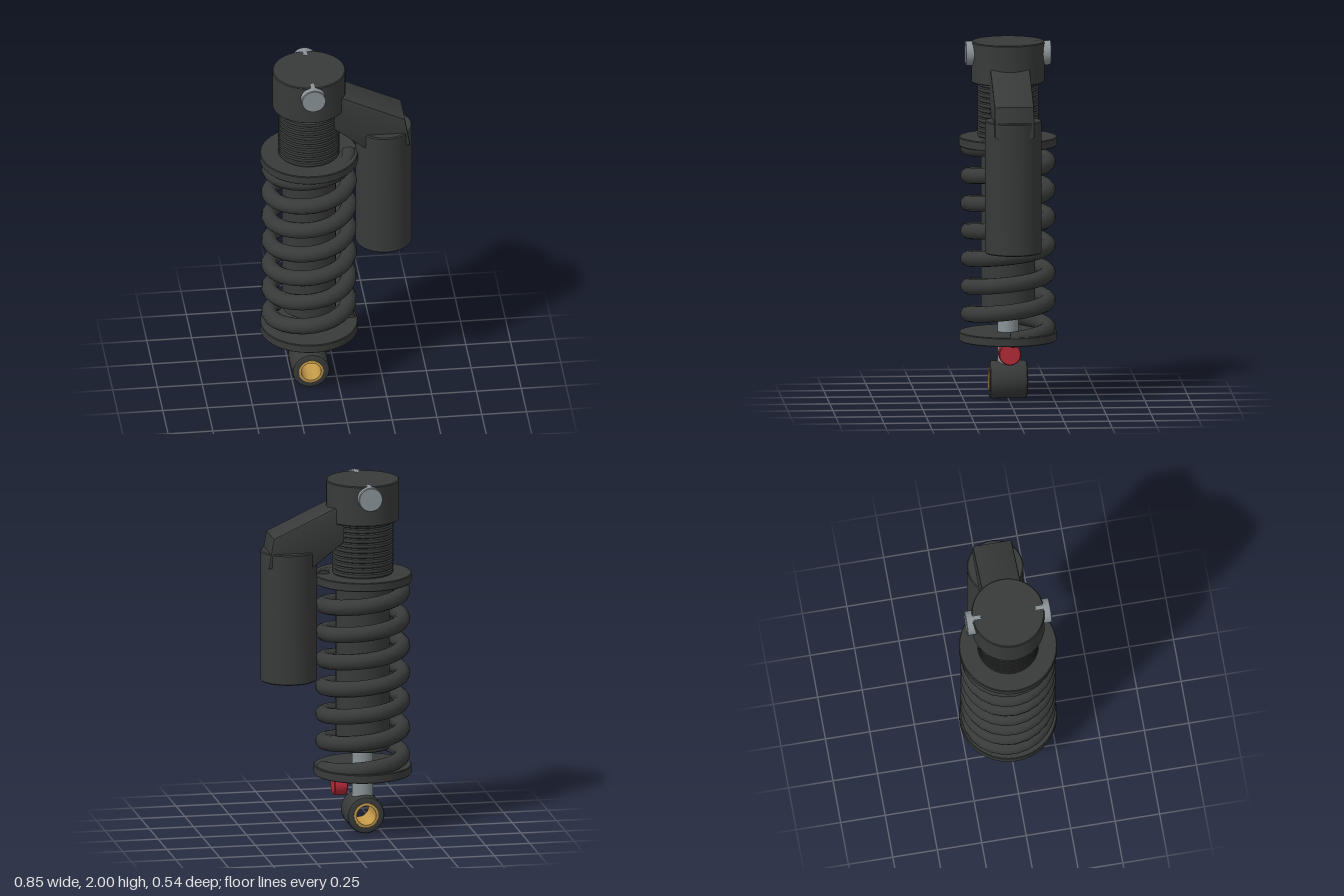
import * as THREE from 'three';
import { toCreasedNormals } from 'three/addons/utils/BufferGeometryUtils.js';

const AXIS = -0.155; // x of the damper's centre line
const RES_X = 0.263; // x of the reservoir's centre line

const dark = new THREE.MeshStandardMaterial({ color: 0x383a39 });
const steel = new THREE.MeshStandardMaterial({ color: 0x8a9397 });
const red = new THREE.MeshStandardMaterial({ color: 0xb32b38 });
const gold = new THREE.MeshStandardMaterial({ color: 0xc49a4a });

// Rising coil, starting and ending on the +x side
class Helix extends THREE.Curve {
  constructor(radius, y0, y1, turns) {
    super();
    Object.assign(this, { radius, y0, y1, turns });
  }
  getPoint(t, target = new THREE.Vector3()) {
    const a = t * this.turns * Math.PI * 2;
    return target.set(this.radius * Math.cos(a), this.y0 + (this.y1 - this.y0) * t, -this.radius * Math.sin(a));
  }
}

function lathe(points, segments = 40) {
  const profile = points.map(([r, y]) => new THREE.Vector2(r, y));
  return toCreasedNormals(new THREE.LatheGeometry(profile, segments), 0.5);
}

// Solid cylinder from y0 to y1 with a chamfer on both rims
function drum(r, y0, y1, c = 0.005, segments = 40) {
  return lathe([[0, y0], [r - c, y0], [r, y0 + c], [r, y1 - c], [r - c, y1], [0, y1]], segments);
}

// Tube from -h to h with rounded outer rims
function sleeve(outer, inner, h, c) {
  return lathe([
    [inner, -h], [outer - c, -h], [outer - c * 0.3, -h + c * 0.3], [outer, -h + c],
    [outer, h - c], [outer - c * 0.3, h - c * 0.3], [outer - c, h], [inner, h], [inner, -h],
  ]);
}

export function createModel() {
  const model = new THREE.Group();
  model.name = 'shockAbsorber';

  const add = (name, geometry, material, x = AXIS, y = 0, z = 0) => {
    const mesh = new THREE.Mesh(geometry, material);
    mesh.name = name;
    mesh.position.set(x, y, z);
    model.add(mesh);
    return mesh;
  };

  // Main damper column
  add('head', drum(0.203, 1.772, 2), dark);
  add('damperBody', drum(0.15, 0.47, 1.5), dark);
  add('shaft', drum(0.058, 0.17, 0.5, 0.003, 32), steel);

  // Threaded collar: a stack of ridges
  const thread = [[0, 1.44]];
  const ridges = 12;
  const pitch = 0.34 / ridges;
  for (let i = 0; i < ridges; i++) {
    const y = 1.44 + i * pitch;
    thread.push([0.162, y], [0.17, y + pitch * 0.2], [0.17, y + pitch * 0.8], [0.162, y + pitch]);
  }
  thread.push([0, 1.78]);
  add('threadedCollar', lathe(thread), dark);

  // Spring and its two seats
  add('upperSpringSeat', drum(0.272, 1.417, 1.467, 0.004), dark);
  add('lowerSpringSeat', drum(0.272, 0.325, 0.375, 0.004), dark);
  const coil = new Helix(0.22, 0.357, 1.443, 7);
  add('spring', new THREE.TubeGeometry(coil, 7 * 24, 0.045, 12), dark);
  add('springLowerEnd', new THREE.CircleGeometry(0.045, 12), dark, AXIS + 0.22, 0.357);
  add('springUpperEnd', new THREE.CircleGeometry(0.045, 12), dark, AXIS + 0.22, 1.443).rotation.y = Math.PI;

  // Pivot bolts on the front and back of the head
  for (const side of [1, -1]) {
    const bolt = add(side > 0 ? 'frontBolt' : 'backBolt', drum(0.068, 0.15, 0.238, 0.004, 32), steel, AXIS, 1.933);
    bolt.rotation.x = side * Math.PI / 2;
  }

  // Lower mounting eye with its bushing
  add('lowerEye', sleeve(0.105, 0.066, 0.105, 0.016), dark, AXIS, 0.105).rotation.x = Math.PI / 2;
  add('eyeBushing', sleeve(0.07, 0.055, 0.108, 0.003), gold, AXIS, 0.105).rotation.x = Math.PI / 2;

  // Rebound adjuster knob, lying along x
  add('adjusterKnob', drum(0.062, -0.038, 0.038, 0.005, 32), red, -0.023, 0.268).rotation.z = -Math.PI / 2;

  // Side reservoir
  add('reservoir', drum(0.157, 0.875, 1.617, 0.006), dark, RES_X);

  // Bridge between head and reservoir, extruded across z
  const bevel = 0.01;
  const outline = new THREE.Shape([
    [-0.1, 1.9], [-0.1, 1.735], [-0.02, 1.673], [0.146, 1.542],
    [0.388, 1.542], [0.36, 1.698], [0.03, 1.85],
  ].map(([x, y]) => new THREE.Vector2(x, y)));
  const bridge = new THREE.ExtrudeGeometry(outline, {
    depth: 0.22 - 2 * bevel, bevelThickness: bevel, bevelSize: bevel, bevelSegments: 2,
  });
  bridge.translate(0, 0, -0.11 + bevel);
  add('reservoirBridge', toCreasedNormals(bridge, 0.5), dark, 0);

  return model;
}
